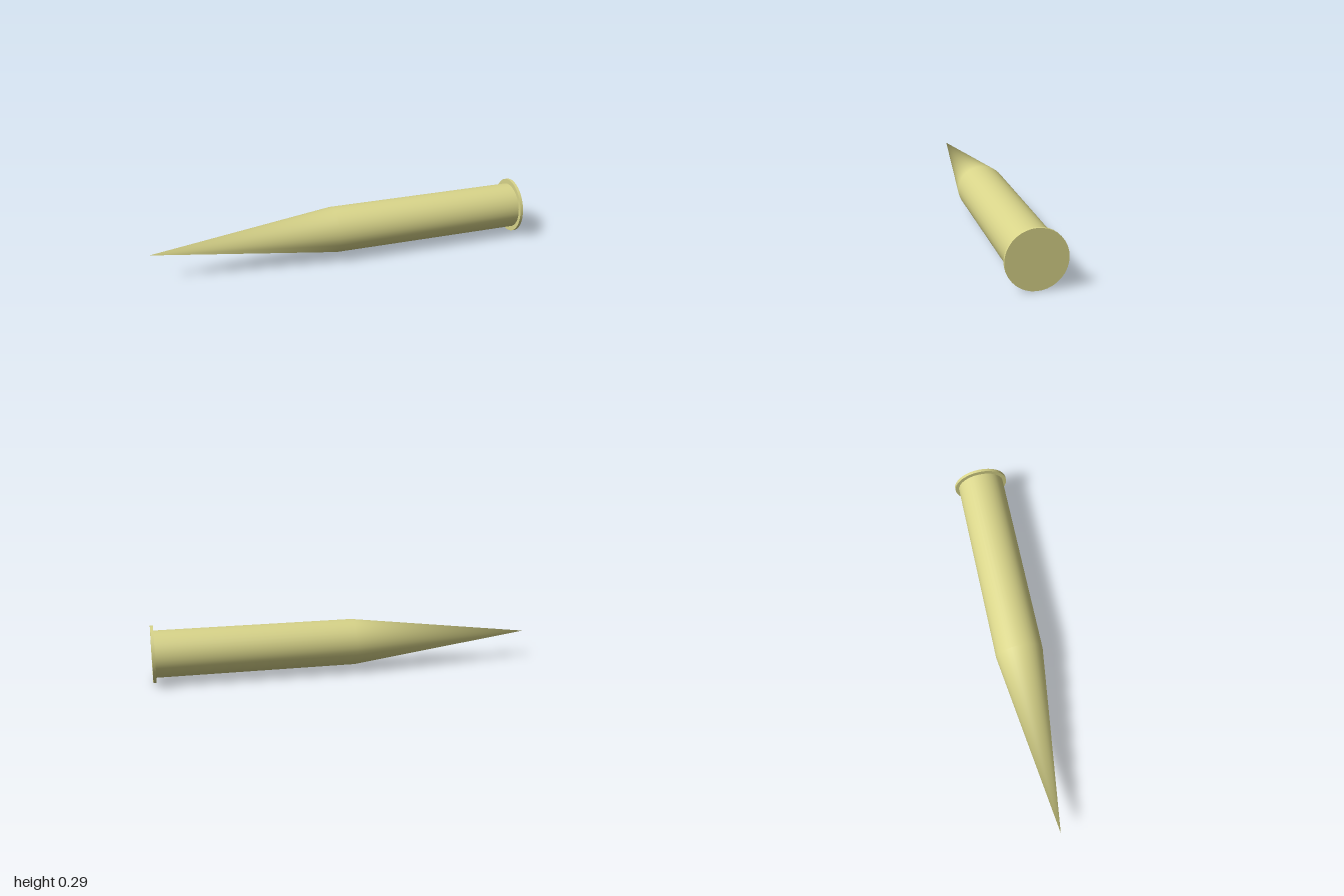
import * as THREE from 'three';
import { mergeVertices } from 'three/addons/utils/BufferGeometryUtils.js';

const CENTER_Y = 0.145;
const SEGMENTS = 36;

export function createModel() {
  const group = new THREE.Group();
  const material = new THREE.MeshStandardMaterial({ color: 0xd9d58a });

  // Long pointed body: cone flowing smoothly into a cylinder, slightly oval across
  const profile = [[0, -1], [1, -0.04], [1, 0.985]].map(([r, x]) => new THREE.Vector2(r, x));
  let bodyGeometry = new THREE.LatheGeometry(profile, SEGMENTS);
  bodyGeometry.rotateZ(-Math.PI / 2);
  bodyGeometry.scale(1, 0.119, 0.125);
  // Weld the seam and the tip so shading is continuous
  bodyGeometry.deleteAttribute('uv');
  bodyGeometry.deleteAttribute('normal');
  bodyGeometry = mergeVertices(bodyGeometry);
  bodyGeometry.computeVertexNormals();
  const body = new THREE.Mesh(bodyGeometry, material);
  body.name = 'pointedBody';
  body.position.y = CENTER_Y;
  group.add(body);

  // Thin flat disc closing the blunt end
  const discGeometry = new THREE.CylinderGeometry(0.145, 0.145, 0.015, SEGMENTS);
  discGeometry.rotateZ(-Math.PI / 2);
  const disc = new THREE.Mesh(discGeometry, material);
  disc.name = 'endDisc';
  disc.position.set(0.9925, CENTER_Y, 0);
  group.add(disc);

  return group;
}
